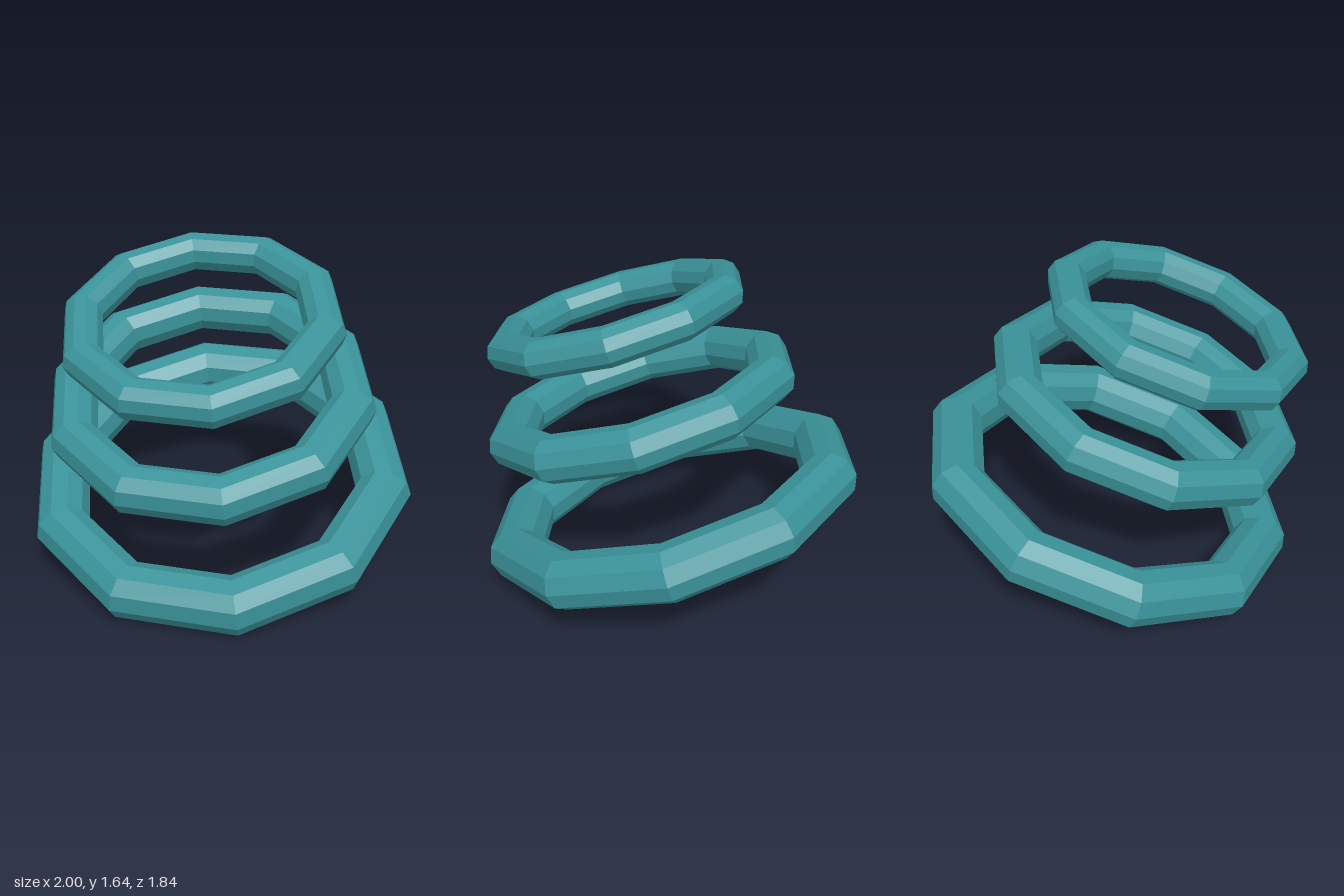
import * as THREE from 'three';

// Three tilted, ten-sided rings that shrink as they rise and drift forward.
export function createModel() {
  const model = new THREE.Group();
  const material = new THREE.MeshStandardMaterial({ color: 0x3a9299, flatShading: true });
  const tilt = 0.335;

  const rings = [
    { name: 'lowerRing', radius: 0.86, tube: 0.14, y: 0.413, z: -0.02 },
    { name: 'middleRing', radius: 0.698, tube: 0.117, y: 0.942, z: 0.165 },
    { name: 'upperRing', radius: 0.575, tube: 0.096, y: 1.37, z: 0.317 },
  ];

  for (const { name, radius, tube, y, z } of rings) {
    const ring = new THREE.Mesh(new THREE.TorusGeometry(radius, tube, 10, 10), material);
    ring.name = name;
    // lay the ring flat, then lift its back edge
    ring.rotation.x = -Math.PI / 2 + tilt;
    ring.position.set(0, y, z);
    model.add(ring);
  }
  return model;
}
